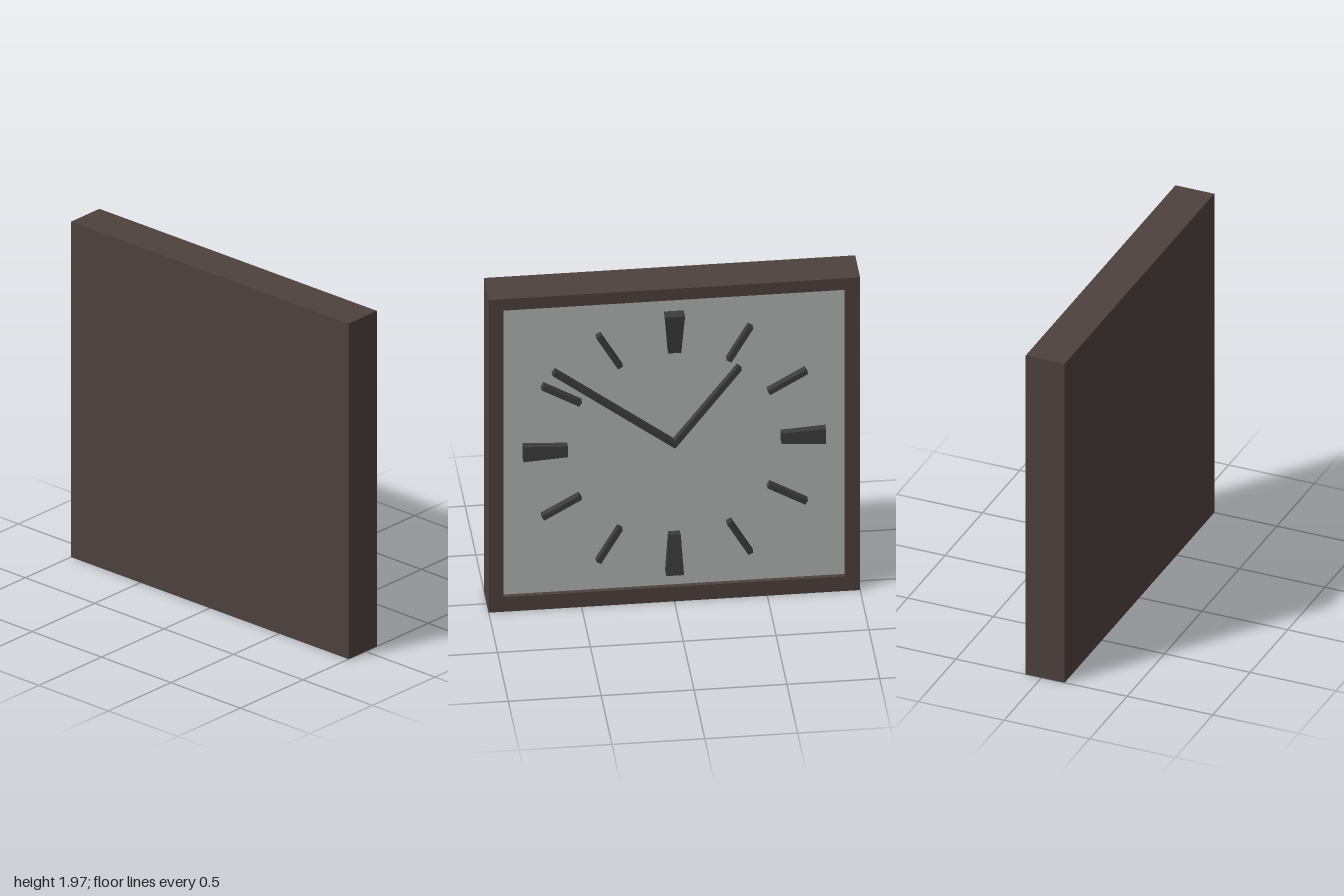
import * as THREE from 'three';

const BACK = -0.135, RIM = 0.092, DIAL = 0.066; // depths along the facing axis
const WIDTH = 2, HEIGHT = 1.965, CENTRE = 0.99;

const material = (color) => new THREE.MeshStandardMaterial({ color, flatShading: true });
const wood = material(0x4d413d);
const dialGrey = material(0xafb4b2);
const dark = material(0x3c3c3c);

function add(parent, name, geometry, mat) {
  const mesh = new THREE.Mesh(geometry, mat);
  mesh.name = name;
  parent.add(mesh);
  return mesh;
}

// A box spanning two depths, centred on x = 0 and y
function slab(w, h, y, z0, z1) {
  return new THREE.BoxGeometry(w, h, z1 - z0).translate(0, y, (z0 + z1) / 2);
}

// Bar from radius r0 to r1, with its width and front depth changing along its length
function radialBar(r0, r1, w0, w1, front0, front1) {
  const geometry = new THREE.BoxGeometry(1, 1, 1);
  const p = geometry.attributes.position;
  for (let i = 0; i < p.count; i++) {
    const outer = p.getY(i) > 0;
    const front = p.getZ(i) > 0;
    p.setXYZ(i,
      p.getX(i) * (outer ? w1 : w0),
      outer ? r1 : r0,
      front ? (outer ? front1 : front0) : DIAL - 0.005);
  }
  geometry.computeVertexNormals();
  return geometry;
}

export function createModel() {
  const model = new THREE.Group();
  model.name = 'wallClock';

  // Built facing +z, then turned to face +x
  const clock = new THREE.Group();
  clock.name = 'clock';
  clock.rotation.y = Math.PI / 2;
  model.add(clock);

  // Square frame with a rectangular opening
  const outline = new THREE.Shape([
    new THREE.Vector2(-WIDTH / 2, 0), new THREE.Vector2(WIDTH / 2, 0),
    new THREE.Vector2(WIDTH / 2, HEIGHT), new THREE.Vector2(-WIDTH / 2, HEIGHT),
  ]);
  outline.holes.push(new THREE.Path([
    new THREE.Vector2(-0.92, 0.092), new THREE.Vector2(-0.92, 1.893),
    new THREE.Vector2(0.92, 1.893), new THREE.Vector2(0.92, 0.092),
  ]));
  const frame = new THREE.ExtrudeGeometry(outline, { depth: RIM - BACK, bevelEnabled: false });
  add(clock, 'frame', frame.translate(0, 0, BACK), wood);

  // Closed back and recessed dial
  add(clock, 'backPanel', slab(1.84, 1.801, 0.9925, BACK, 0.04), wood);
  add(clock, 'dial', slab(1.84, 1.801, 0.9925, 0.04, DIAL), dialGrey);

  // Twelve hour markers: wedges at the quarters, thin bars between
  const markers = new THREE.Group();
  markers.name = 'hourMarkers';
  markers.position.y = CENTRE;
  clock.add(markers);
  const quarters = {
    0: [0.58, 0.82, 0.07, 0.106, 0.108, 0.13],
    3: [0.575, 0.815, 0.066, 0.094, 0.108, 0.11],
    6: [0.562, 0.808, 0.064, 0.096, 0.108, 0.125],
    9: [0.575, 0.815, 0.066, 0.094, 0.108, 0.11],
  };
  for (let hour = 0; hour < 12; hour++) {
    const size = quarters[hour] ?? [0.585, 0.82, 0.03, 0.03, 0.108, 0.108];
    const marker = add(markers, hour % 3 ? 'barMarker' : 'wedgeMarker', radialBar(...size), dark);
    marker.rotation.z = -hour * Math.PI / 6;
  }

  // Hands meeting at the centre, given by tip position relative to it
  const hands = new THREE.Group();
  hands.name = 'hands';
  hands.position.y = CENTRE;
  clock.add(hands);
  for (const [name, x, y, front] of [['minuteHand', -0.65, 0.495, 0.107], ['hourHand', 0.35, 0.455, 0.106]]) {
    const hand = add(hands, name, radialBar(-0.012, Math.hypot(x, y), 0.032, 0.03, front, front), dark);
    hand.rotation.z = Math.atan2(-x, y);
  }

  return model;
}
